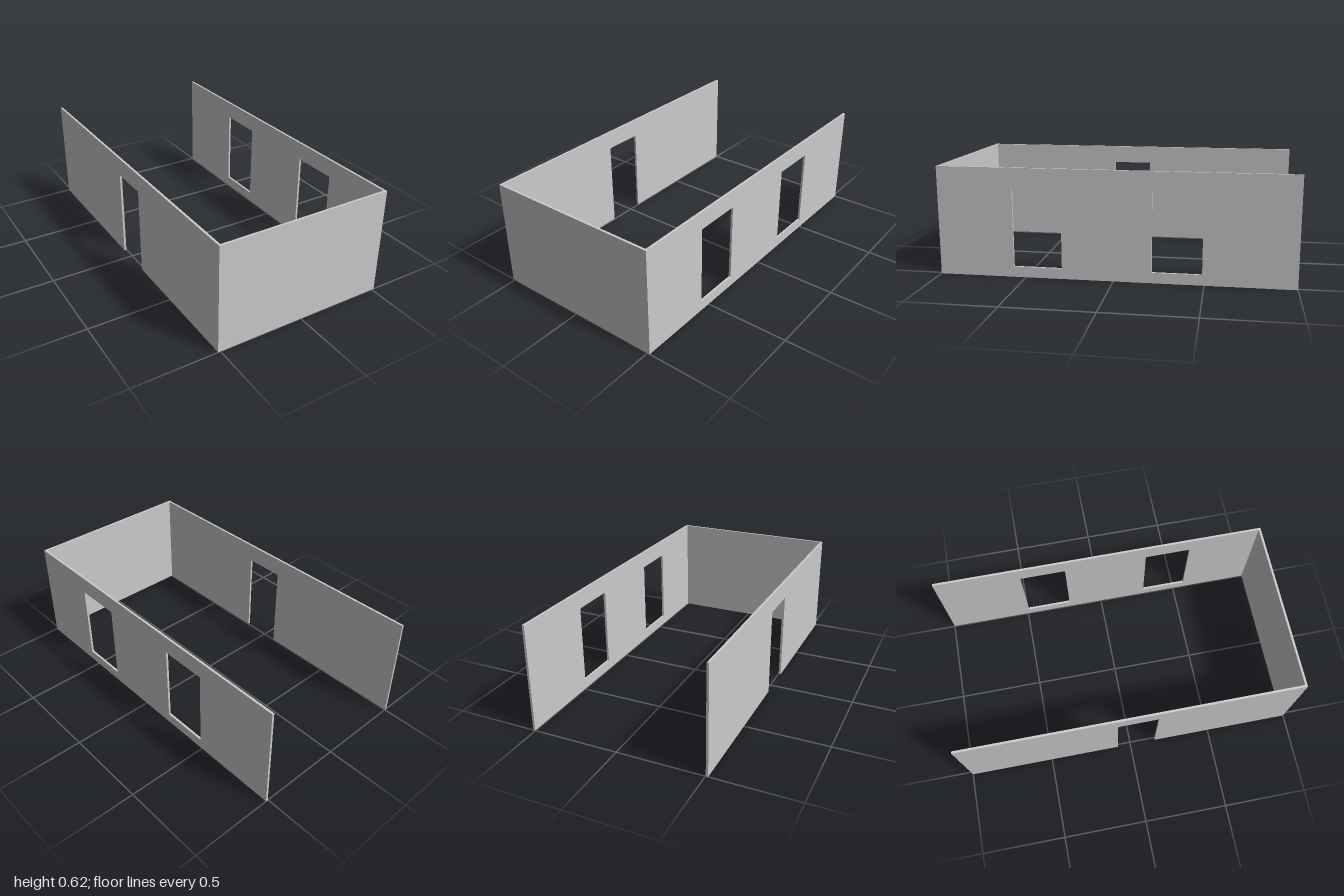
import * as THREE from 'three';

const HALF_W = 0.515, HALF_L = 1, H = 0.623, T = 0.013;

// Closed outline from [z, y] points
function outline(points, Type = THREE.Shape) {
  return new Type(points.map(([z, y]) => new THREE.Vector2(z, y)));
}

function rectHole(z0, z1, y0, y1) {
  return outline([[z0, y0], [z0, y1], [z1, y1], [z1, y0]], THREE.Path);
}

// Extrudes a side profile (z, y) along x, with its outer face at xMax
function sideWall(name, shape, xMax, material) {
  const geometry = new THREE.ExtrudeGeometry(shape, { depth: T, bevelEnabled: false });
  geometry.rotateY(-Math.PI / 2);
  geometry.translate(xMax, 0, 0);
  const mesh = new THREE.Mesh(geometry, material);
  mesh.name = name;
  return mesh;
}

export function createModel() {
  const group = new THREE.Group();
  group.name = 'roomWalls';
  const material = new THREE.MeshStandardMaterial({ color: 0xcccccc, flatShading: true });
  const frontInner = HALF_L - T;

  // Front wall across the full width
  const front = new THREE.Mesh(new THREE.BoxGeometry(HALF_W * 2, H, T), material);
  front.position.set(0, H / 2, HALF_L - T / 2);
  front.name = 'frontWall';
  group.add(front);

  // Left wall with two window openings
  const windowed = outline([[-HALF_L, 0], [frontInner, 0], [frontInner, H], [-HALF_L, H]]);
  for (const z of [0.429, -0.351]) windowed.holes.push(rectHole(z - 0.138, z + 0.138, 0.06, 0.52));
  group.add(sideWall('windowWall', windowed, HALF_W, material));

  // Right wall with a doorway open to the floor
  const d0 = -0.08, d1 = 0.157, doorTop = 0.515;
  const doored = outline([
    [-HALF_L, 0], [d0, 0], [d0, doorTop], [d1, doorTop], [d1, 0],
    [frontInner, 0], [frontInner, H], [-HALF_L, H],
  ]);
  group.add(sideWall('doorWall', doored, -HALF_W + T, material));

  return group;
}
